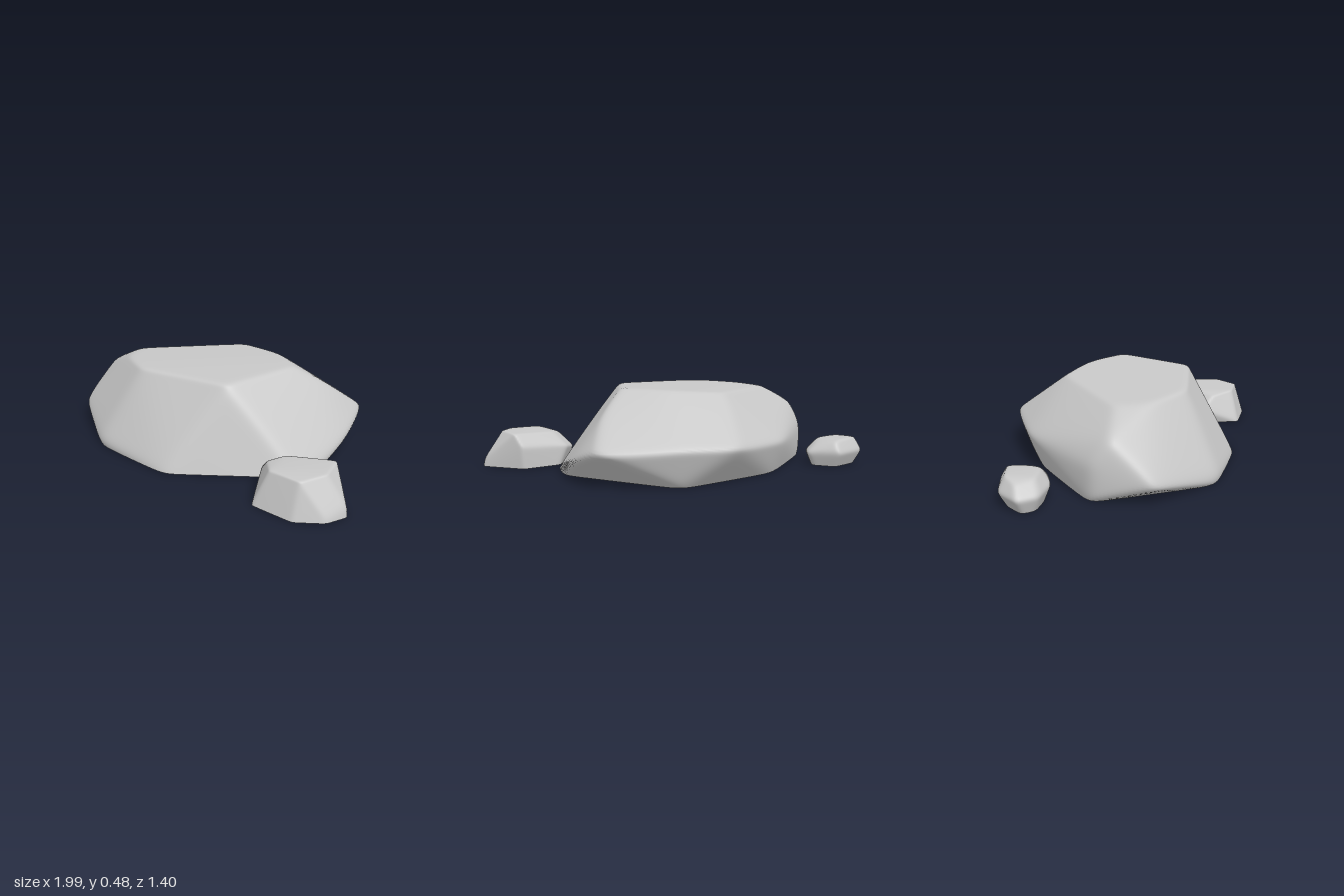
import * as THREE from 'three';
import { ConvexGeometry } from 'three/addons/geometries/ConvexGeometry.js';

// Facet planes (unit normal n, distance h from the centre) of the hull of the corners, without the base
function facetPlanes(corners, centre) {
  const pos = new ConvexGeometry(corners.map((c) => new THREE.Vector3(...c).sub(centre))).attributes.position;
  const planes = [];
  const [a, b, c] = [0, 1, 2].map(() => new THREE.Vector3());
  for (let i = 0; i < pos.count; i += 3) {
    a.fromBufferAttribute(pos, i);
    b.fromBufferAttribute(pos, i + 1).sub(a);
    c.fromBufferAttribute(pos, i + 2).sub(a);
    const n = b.clone().cross(c).normalize();
    const known = n.y < -0.99 || planes.some((p) => p.n.dot(n) > 0.999);
    if (!known) planes.push({ n, h: n.dot(a) });
  }
  return planes;
}

// Rock with softly worn edges between its facets and a flat base at y = 0.
// A lower wear value gives rounder edges.
function makeRock(name, corners, centreXYZ, columns, rows, wear, material) {
  const centre = new THREE.Vector3(...centreXYZ);
  const planes = facetPlanes(corners, centre);
  const swell = 2 ** (1 / wear); // keeps worn edges at their full size

  // Surface point at a polar angle phi from the top and a turn theta about y
  const surface = (phi, theta) => {
    const d = new THREE.Vector3().setFromSphericalCoords(1, phi, theta);
    let sum = 0;
    for (const p of planes) sum += Math.max(0, d.dot(p.n) / p.h) ** wear;
    return d.multiplyScalar(swell * sum ** (-1 / wear)).add(centre);
  };
  // Polar angle at which the surface meets the ground
  const groundAngle = (theta) => {
    let lo = Math.PI / 2, hi = Math.PI;
    for (let k = 0; k < 30; k++) {
      const mid = (lo + hi) / 2;
      if (surface(mid, theta).y > 0) lo = mid;
      else hi = mid;
    }
    return lo;
  };

  // Each column runs from the top to the ground; a second ground point and
  // the middle of the base form the flat underside with its own normals
  const verts = [], index = [];
  const stride = rows + 3;
  for (let j = 0; j < columns; j++) {
    const theta = (j / columns) * Math.PI * 2;
    const end = groundAngle(theta);
    for (let i = 0; i <= rows; i++) {
      const p = surface((end * i) / rows, theta);
      verts.push(p.x, i === rows ? 0 : p.y, p.z);
    }
    verts.push(...verts.slice(-3), centre.x, 0, centre.z);
    const here = j * stride, next = ((j + 1) % columns) * stride;
    for (let i = 0; i < rows; i++) {
      index.push(here + i, here + i + 1, next + i + 1);
      if (i > 0) index.push(here + i, next + i + 1, next + i);
    }
    index.push(here + rows + 1, here + rows + 2, next + rows + 1);
  }
  const geo = new THREE.BufferGeometry();
  geo.setAttribute('position', new THREE.Float32BufferAttribute(verts, 3));
  geo.setIndex(index);
  geo.computeVertexNormals();
  const mesh = new THREE.Mesh(geo, material);
  mesh.name = name;
  return mesh;
}

export function createModel() {
  const group = new THREE.Group();
  group.name = 'rocks';
  const stone = new THREE.MeshStandardMaterial({ color: 0xc8c8c8 });
  stone.name = 'grey stone';

  // Corners as [x, y, z]: base, widest rim, then top
  const boulder = [
    [0.69, 0, 0.05], [0.34, 0, -0.55], [-0.29, 0, -0.51], [-0.8, 0, -0.17],
    [-0.54, 0, 0.46], [-0.03, 0, 0.59], [0.64, 0, 0.27],
    [0.08, 0.2, -0.71], [0.38, 0.2, -0.61], [0.73, 0.19, -0.41], [0.755, 0.16, -0.3], [0.755, 0.09, -0.1],
    [-0.35, 0.18, -0.55], [-0.82, 0.2, -0.15], [-0.88, 0.11, 0.17], [-0.52, 0.04, 0.48],
    [-0.8, 0.33, -0.07], [-0.6, 0.425, -0.06], [-0.55, 0.44, 0.13], [-0.34, 0.455, 0.3], [0.22, 0.46, 0.31],
    [0.42, 0.475, -0.09], [0.6, 0.36, -0.2], [0.26, 0.465, -0.28], [-0.06, 0.45, -0.39],
  ];
  const frontStone = [
    [0.51, 0, 0.43], [0.61, 0, 0.32], [0.83, 0, 0.32], [1, 0, 0.52],
    [0.93, 0, 0.63], [0.78, 0, 0.7], [0.54, 0, 0.65],
    [0.48, 0.09, 0.41], [0.56, 0.11, 0.325], [0.84, 0.12, 0.315], [0.99, 0.05, 0.52],
    [0.61, 0.185, 0.41], [0.87, 0.2, 0.36], [0.88, 0.2, 0.52],
    [0.79, 0.19, 0.64], [0.62, 0.195, 0.61], [0.54, 0.17, 0.48],
  ];
  const backStone = [
    [-0.96, 0, -0.48], [-0.87, 0, -0.57], [-0.71, 0, -0.59], [-0.63, 0, -0.49],
    [-0.68, 0, -0.42], [-0.79, 0, -0.39], [-0.92, 0, -0.41],
    [-1, 0.08, -0.49], [-0.91, 0.08, -0.6], [-0.7, 0.08, -0.635], [-0.595, 0.08, -0.48],
    [-0.65, 0.08, -0.4], [-0.79, 0.08, -0.355], [-0.94, 0.08, -0.39],
    [-0.94, 0.14, -0.51], [-0.87, 0.16, -0.57], [-0.71, 0.15, -0.59], [-0.66, 0.13, -0.48],
    [-0.73, 0.15, -0.42], [-0.88, 0.15, -0.42],
  ];

  group.add(
    makeRock('boulder', boulder, [-0.06, 0.24, -0.06], 240, 120, 45, stone),
    makeRock('frontStone', frontStone, [0.74, 0.1, 0.5], 120, 70, 45, stone),
    makeRock('backStone', backStone, [-0.8, 0.08, -0.49], 96, 48, 20, stone),
  );
  return group;
}
